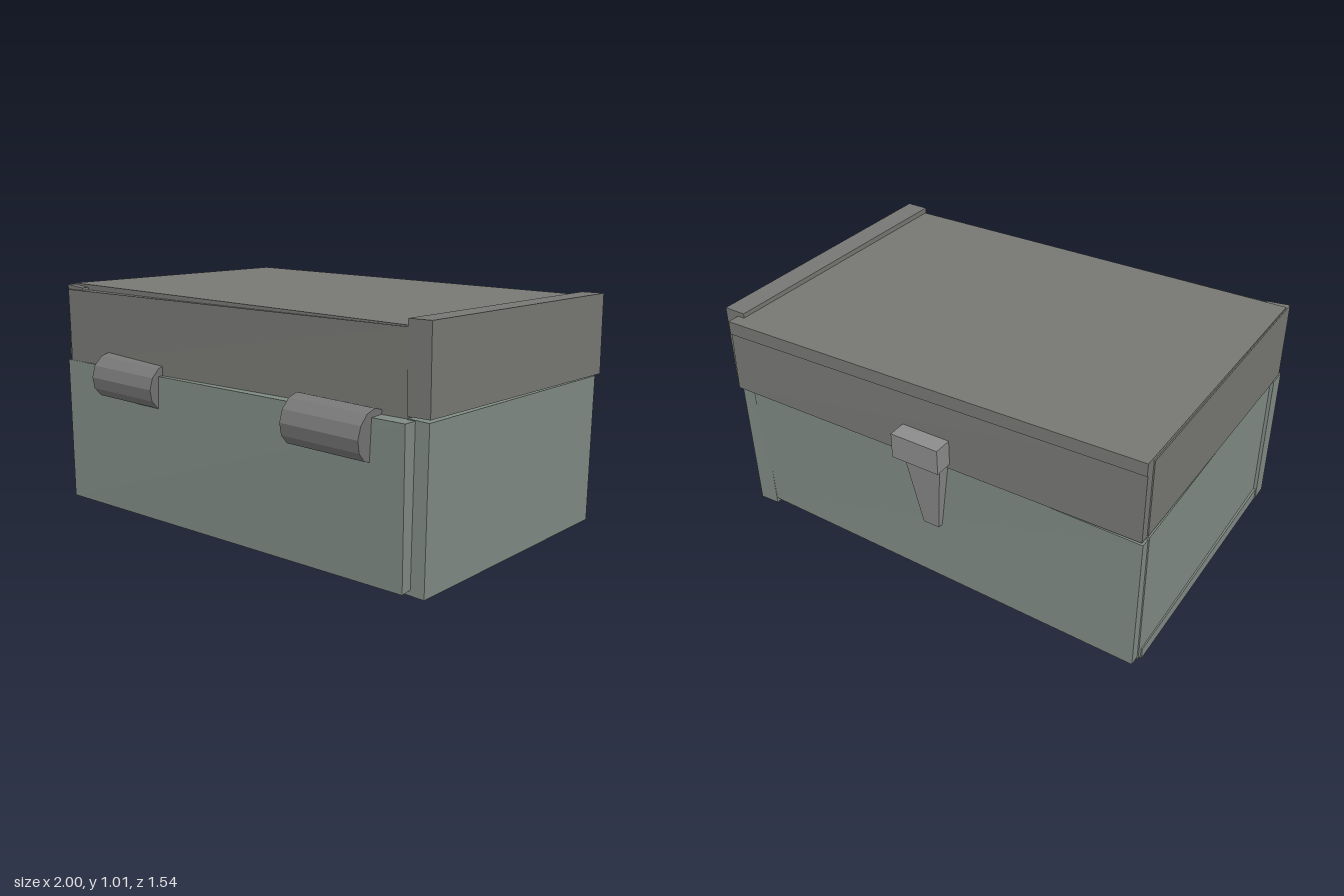
import * as THREE from 'three';

const GREEN = 0x808b84, GREY = 0x777774, METAL = 0x777777, CLASP = 0x8c8c8c, WOOD = 0xb0a186;

function mesh(name, geometry, color) {
  const m = new THREE.Mesh(geometry, new THREE.MeshStandardMaterial({ color, flatShading: true }));
  m.name = name;
  return m;
}

// Skewed board: eight corners, ordered x first, then y, then z (low to high)
function board(name, color, corners) {
  const g = new THREE.BoxGeometry(1, 1, 1).toNonIndexed();
  const p = g.attributes.position;
  for (let i = 0; i < p.count; i++) {
    const k = (p.getX(i) > 0 ? 1 : 0) + (p.getY(i) > 0 ? 2 : 0) + (p.getZ(i) > 0 ? 4 : 0);
    p.setXYZ(i, ...corners[k]);
  }
  g.computeVertexNormals();
  return mesh(name, g, color);
}

// Straight board from its limits
function plank(name, color, [x0, x1], [y0, y1], [z0, z1]) {
  const m = mesh(name, new THREE.BoxGeometry(x1 - x0, y1 - y0, z1 - z0), color);
  m.position.set((x0 + x1) / 2, (y0 + y1) / 2, (z0 + z1) / 2);
  return m;
}

function createBase() {
  const base = new THREE.Group();
  base.name = 'base';
  base.add(
    board('baseFront', GREEN, [
      [-0.995, 0.03, 0.53], [0.91, 0.03, 0.57], [-0.995, 0.67, 0.53], [0.92, 0.645, 0.58],
      [-0.995, 0.03, 0.61], [0.91, 0.02, 0.66], [-0.995, 0.67, 0.615], [0.92, 0.645, 0.67]]),
    board('baseLeftSide', GREEN, [
      [0.875, 0.005, -0.645], [0.97, 0, -0.645], [0.885, 0.65, -0.645], [0.98, 0.645, -0.645],
      [0.875, 0.005, 0.61], [0.97, 0, 0.61], [0.885, 0.65, 0.61], [0.98, 0.645, 0.61]]),
    board('baseBack', GREEN, [
      [-0.98, 0.05, -0.695], [0.91, 0.03, -0.642], [-0.98, 0.65, -0.69], [0.91, 0.64, -0.65],
      [-0.98, 0.05, -0.6], [0.91, 0.03, -0.56], [-0.98, 0.65, -0.6], [0.91, 0.64, -0.56]]),
    board('baseRightSide', GREEN, [
      [-0.985, 0.04, -0.65], [-0.89, 0.04, -0.65], [-0.985, 0.66, -0.65], [-0.89, 0.66, -0.65],
      [-0.98, 0.04, 0.6], [-0.89, 0.04, 0.6], [-0.98, 0.66, 0.6], [-0.89, 0.66, 0.6]]),
    board('floor', GREEN, [
      [-0.99, 0.03, -0.63], [0.9, 0.03, -0.62], [-0.99, 0.08, -0.63], [0.9, 0.08, -0.62],
      [-0.99, 0.025, 0.6], [0.9, 0.015, 0.6], [-0.99, 0.08, 0.6], [0.9, 0.08, 0.6]]));

  // Staggered wood pieces under the floor
  const wood = new THREE.Group();
  wood.name = 'floorPlanks';
  for (let row = 0; row < 3; row++) {
    const z = -0.59 + row * 0.105;
    for (let x = -0.9 - (row % 2) * 0.18; x < 0.85; x += 0.36) {
      const ends = [Math.max(x, -0.9), Math.min(x + 0.352, 0.87)];
      wood.add(plank('floorPlank', WOOD, ends, [0.023, 0.05], [z, z + 0.098]));
    }
  }
  base.add(wood);
  return base;
}

function createLid() {
  const lid = new THREE.Group();
  lid.name = 'lid';
  lid.add(
    board('lidTop', GREY, [
      [-0.975, 0.96, -0.695], [0.935, 0.92, -0.705], [-0.975, 1.015, -0.695], [0.935, 0.98, -0.705],
      [-0.985, 0.96, 0.57], [0.9, 0.92, 0.6], [-0.985, 1.015, 0.57], [0.9, 0.975, 0.6]]),
    board('lidFront', GREY, [
      [-0.97, 0.66, 0.52], [0.89, 0.645, 0.51], [-0.97, 0.99, 0.52], [0.89, 0.965, 0.51],
      [-0.97, 0.665, 0.615], [0.89, 0.645, 0.6], [-0.97, 0.99, 0.62], [0.89, 0.97, 0.603]]),
    board('lidBack', GREY, [
      [-0.975, 0.66, -0.69], [0.935, 0.655, -0.705], [-0.975, 1.0, -0.69], [0.935, 0.975, -0.697],
      [-0.975, 0.66, -0.6], [0.935, 0.655, -0.61], [-0.975, 1.0, -0.6], [0.935, 0.975, -0.61]]),
    board('lidLeftSide', GREY, [
      [0.9, 0.655, -0.65], [1.0, 0.655, -0.65], [0.9, 1.0, -0.65], [1.0, 1.0, -0.65],
      [0.88, 0.655, 0.605], [0.98, 0.655, 0.605], [0.88, 1.0, 0.605], [0.98, 1.0, 0.605]]),
    board('lidRightSide', GREY, [
      [-0.98, 0.665, -0.65], [-0.89, 0.665, -0.65], [-0.98, 1.0, -0.65], [-0.89, 1.0, -0.65],
      [-0.99, 0.665, 0.605], [-0.89, 0.665, 0.605], [-0.99, 1.01, 0.605], [-0.89, 1.0, 0.605]]));
  return lid;
}

// Faceted barrel hinge lying along x, slightly crooked
function createHinge(x, y, z) {
  const hinge = mesh('hinge', new THREE.CylinderGeometry(0.1, 0.1, 0.345, 12).rotateZ(Math.PI / 2), METAL);
  hinge.position.set(x, y, z);
  hinge.rotation.set(0, 0.07, -0.06);
  return hinge;
}

function createClasp() {
  const clasp = new THREE.Group();
  clasp.name = 'clasp';
  clasp.add(
    plank('claspBlock', CLASP, [-0.155, 0.06], [0.68, 0.79], [-0.775, -0.65]),
    // Tapered tongue
    board('claspTongue', CLASP, [
      [-0.085, 0.325, -0.69], [-0.01, 0.325, -0.69], [-0.135, 0.69, -0.735], [0.04, 0.69, -0.735],
      [-0.085, 0.325, -0.645], [-0.01, 0.325, -0.645], [-0.135, 0.69, -0.645], [0.04, 0.69, -0.645]]));
  return clasp;
}

export function createModel() {
  const model = new THREE.Group();
  model.name = 'box';
  model.add(createBase(), createLid(), createClasp(),
    createHinge(-0.55, 0.62, 0.595), createHinge(0.595, 0.588, 0.658));
  return model;
}
